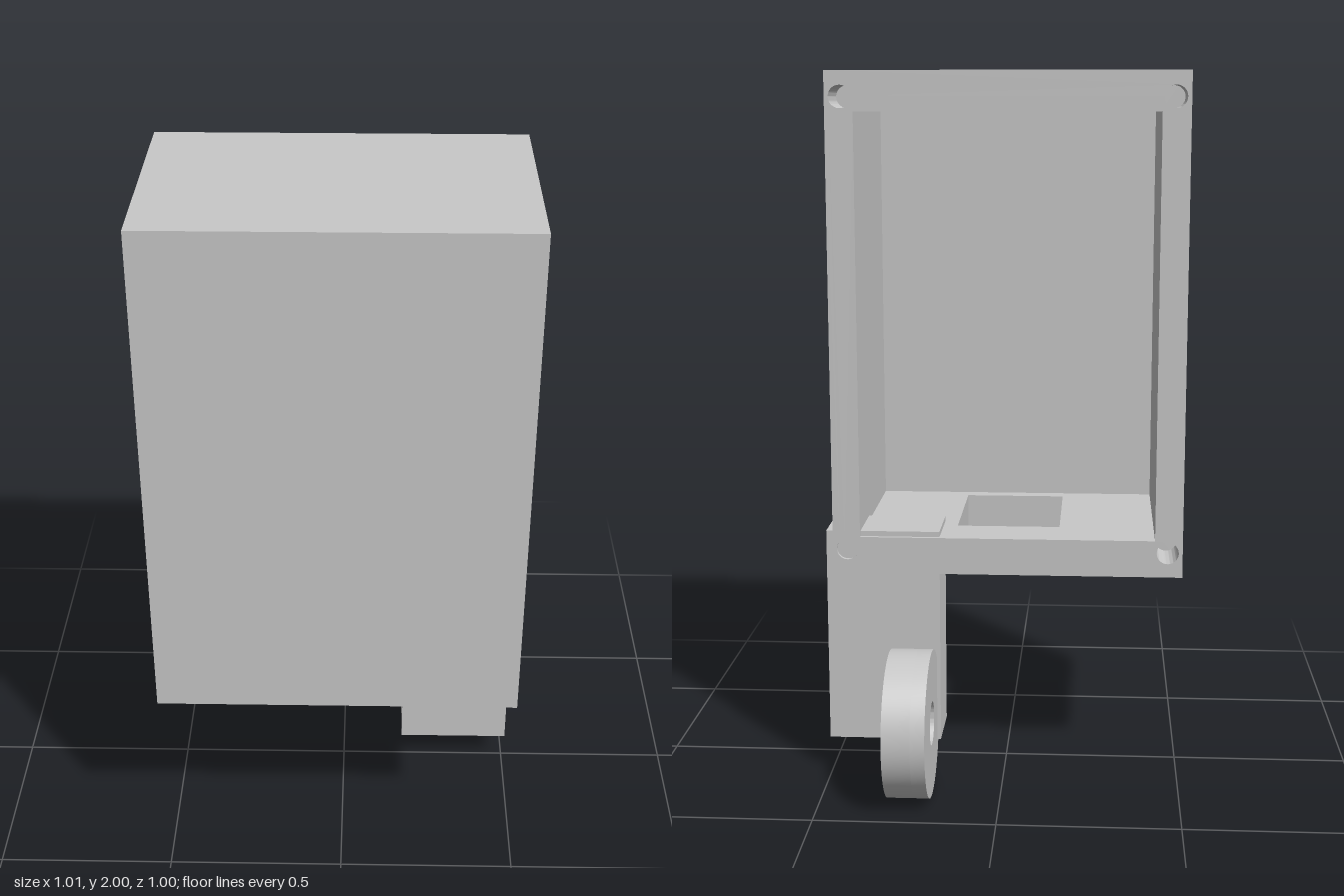
import * as THREE from 'three';
import { toCreasedNormals } from 'three/addons/utils/BufferGeometryUtils.js';

const grey = new THREE.MeshStandardMaterial({ color: 0xc8c8c8 });
grey.name = 'plain grey';

// housing extents and the cavity inside it
const X0 = -0.505, X1 = 0.485, Y0 = 0.6, Y1 = 2.0;
const CX0 = -0.427, CX1 = 0.407, CY0 = 0.705, CY1 = 1.89;
const ZBACK = -0.157, ZFRONT = 0.5, ZCAVITY = 0.413;
// cable opening through the housing floor
const GX0 = -0.155, GX1 = 0.141, GZ0 = -0.012, GZ1 = 0.37;

const polygon = (Type, points) => new Type(points.map(([x, y]) => new THREE.Vector2(x, y)));
const rect = (Type, x0, x1, y0, y1) => polygon(Type, [[x0, y0], [x1, y0], [x1, y1], [x0, y1]]);
const circle = (Type, x, y, r) => new Type().absarc(x, y, r, 0, Math.PI * 2, false);

function extrude(shape, depth) {
  const geometry = new THREE.ExtrudeGeometry(shape, { depth, bevelEnabled: false, curveSegments: 48 });
  return toCreasedNormals(geometry, 0.5);
}

function add(group, name, geometry) {
  const mesh = new THREE.Mesh(geometry, grey);
  mesh.name = name;
  group.add(mesh);
  return mesh;
}

// slab of the housing between two depths
function addLayer(group, name, shape, z0, z1) {
  add(group, name, extrude(shape, z1 - z0)).position.z = z0;
}

function createHousing() {
  const housing = new THREE.Group();
  housing.name = 'housing';

  const frame = () => {
    const shape = rect(THREE.Shape, X0, X1, Y0, Y1);
    shape.holes.push(rect(THREE.Path, CX0, CX1, CY0, CY1));
    return shape;
  };

  // rear rim with a screw hole in each corner
  const rim = frame();
  for (const x of [X0 + 0.042, X1 - 0.042])
    for (const y of [Y0 + 0.07, Y1 - 0.07])
      rim.holes.push(circle(THREE.Path, x, y, 0.031));
  addLayer(housing, 'rearRim', rim, ZBACK, GZ0);

  // middle walls, with a gap in the floor for the opening
  const walls = polygon(THREE.Shape, [
    [X0, Y0], [GX0, Y0], [GX0, CY0], [CX0, CY0], [CX0, CY1], [CX1, CY1],
    [CX1, CY0], [GX1, CY0], [GX1, Y0], [X1, Y0], [X1, Y1], [X0, Y1],
  ]);
  addLayer(housing, 'middleWalls', walls, GZ0, GZ1);

  addLayer(housing, 'forwardWalls', frame(), GZ1, ZCAVITY);
  addLayer(housing, 'frontPanel', rect(THREE.Shape, X0, X1, Y0, Y1), ZCAVITY, ZFRONT);
  return housing;
}

function createWheel() {
  const wheel = new THREE.Group();
  wheel.name = 'wheel';
  const R = 0.206, split = 0.04, width = 0.118;

  // inner half with a round bore
  const bored = circle(THREE.Shape, 0, 0, R);
  bored.holes.push(circle(THREE.Path, 0, 0, 0.061));
  add(wheel, 'boredDisc', extrude(bored, split));

  // outer half with a hexagonal nut recess
  const recessed = circle(THREE.Shape, 0, 0, R);
  const hex = [];
  for (let i = 0; i < 6; i++) {
    const a = Math.PI / 6 + i * Math.PI / 3;
    hex.push([0.116 * Math.cos(a), 0.116 * Math.sin(a)]);
  }
  recessed.holes.push(polygon(THREE.Path, hex));
  add(wheel, 'recessedDisc', extrude(recessed, width - split)).position.z = split;

  wheel.rotation.y = Math.PI / 2;
  wheel.position.set(0.192, 0.206, -0.296);
  return wheel;
}

export function createModel() {
  const model = new THREE.Group();
  model.name = 'housingWithWheel';
  model.add(createHousing());

  // leg runs through the floor and stands slightly proud of it
  const leg = add(model, 'leg', new THREE.BoxGeometry(0.323, 0.62, 0.18));
  leg.position.set(0.3435, 0.41, -0.056);

  model.add(createWheel());
  return model;
}
